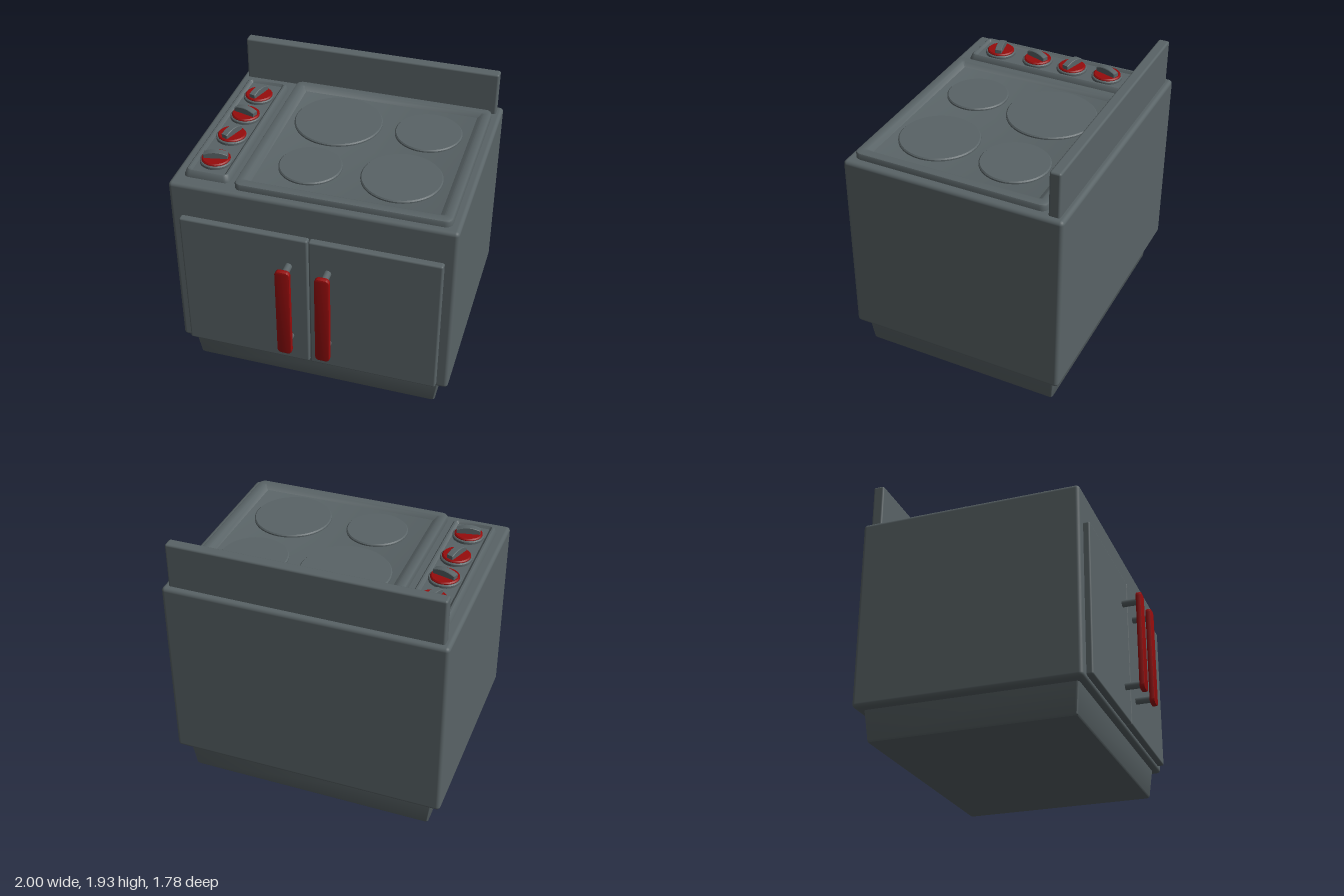
import * as THREE from 'three';
import { toCreasedNormals } from 'three/addons/utils/BufferGeometryUtils.js';
import { RoundedBoxGeometry } from 'three/addons/geometries/RoundedBoxGeometry.js';

const enamel = new THREE.MeshStandardMaterial({ color: 0x596366 });
enamel.name = 'grey enamel';
const red = new THREE.MeshStandardMaterial({ color: 0x960c0c });
red.name = 'dark red';

function add(parent, name, geometry, material, x = 0, y = 0, z = 0) {
  const mesh = new THREE.Mesh(geometry, material);
  mesh.name = name;
  mesh.position.set(x, y, z);
  parent.add(mesh);
  return mesh;
}

// Box given by its minimum and maximum corners, with rounded edges
function roundedBox(parent, name, min, max, radius) {
  const size = max.map((v, i) => v - min[i]);
  const mid = max.map((v, i) => (v + min[i]) / 2);
  return add(parent, name, new RoundedBoxGeometry(...size, 3, radius), enamel, ...mid);
}

// Closed skin through rounded rectangles: [half width, half depth, y, corner radius]
function loftRects(sections) {
  const steps = 5, pos = [], index = [];
  const n = 4 * (steps + 1);
  for (const [w, d, y, r] of sections) {
    for (let c = 0; c < 4; c++) {
      const sx = c === 0 || c === 3 ? 1 : -1, sz = c < 2 ? 1 : -1;
      for (let s = 0; s <= steps; s++) {
        const a = (c + s / steps) * Math.PI / 2;
        pos.push(sx * (w - r) + r * Math.cos(a), y, sz * (d - r) + r * Math.sin(a));
      }
    }
  }
  const last = sections.length - 1;
  for (let k = 0; k < last; k++) {
    for (let i = 0; i < n; i++) {
      const a = k * n + i, b = k * n + (i + 1) % n;
      index.push(a, a + n, b, b, a + n, b + n);
    }
  }
  const bottom = pos.length / 3;
  pos.push(0, sections[0][2], 0, 0, sections[last][2], 0);
  for (let i = 0; i < n; i++) {
    const j = (i + 1) % n;
    index.push(bottom, i, j, bottom + 1, last * n + j, last * n + i);
  }
  const g = new THREE.BufferGeometry();
  g.setAttribute('position', new THREE.Float32BufferAttribute(pos, 3));
  g.setIndex(index);
  return toCreasedNormals(g, 0.6);
}

// Disc with a small chamfer, standing on its origin
function disc(r, h, bevel) {
  const pts = [[0, 0], [r, 0], [r, h - bevel], [r - bevel, h], [0, h]];
  const g = new THREE.LatheGeometry(pts.map(p => new THREE.Vector2(...p)), 48);
  return toCreasedNormals(g, 0.5);
}

// Upright bar with rounded ends
function handleBar(w, h, depth) {
  const b = 0.006, r = 0.025, x = w / 2 - b, y = h / 2 - b;
  const s = new THREE.Shape();
  s.absarc(x - r, y - r, r, 0, Math.PI / 2);
  s.absarc(-x + r, y - r, r, Math.PI / 2, Math.PI);
  s.absarc(-x + r, -y + r, r, Math.PI, Math.PI * 1.5);
  s.absarc(x - r, -y + r, r, Math.PI * 1.5, Math.PI * 2);
  const g = new THREE.ExtrudeGeometry(s, {
    depth: depth - 2 * b, bevelSize: b, bevelThickness: b, bevelSegments: 2, curveSegments: 6,
  });
  return toCreasedNormals(g.translate(0, 0, b), 0.6);
}

// Arched grip across a knob
function gripGeometry() {
  const s = new THREE.Shape();
  s.moveTo(-0.08, 0);
  s.lineTo(0.08, 0);
  s.lineTo(0.08, 0.025);
  s.quadraticCurveTo(0, 0.062, -0.08, 0.025);
  s.closePath();
  const g = new THREE.ExtrudeGeometry(s, {
    depth: 0.042, bevelSize: 0.004, bevelThickness: 0.004, bevelSegments: 1, curveSegments: 10,
  });
  return toCreasedNormals(g.translate(0, 0, -0.021), 0.5);
}

export function createModel() {
  const stove = new THREE.Group();
  stove.name = 'stove';

  // Cabinet, plinth and splash back
  roundedBox(stove, 'cabinet', [-1, 0.215, -0.89], [1, 1.602, 0.7], 0.028);
  add(stove, 'plinth', loftRects([
    [0.895, 0.715, 0, 0.02], [0.902, 0.722, 0.01, 0.02], [0.932, 0.745, 0.235, 0.02],
  ]), enamel, 0, 0, -0.09);
  roundedBox(stove, 'splashBack', [-0.96, 1.56, -0.85], [0.96, 1.927, -0.77], 0.015);

  // Cooktop tray with sunken floor
  add(stove, 'cooktop', loftRects([
    [0.745, 0.7, 1.59, 0.05], [0.745, 0.7, 1.636, 0.05], [0.74, 0.695, 1.645, 0.045],
    [0.73, 0.685, 1.65, 0.04], [0.69, 0.645, 1.65, 0.02], [0.68, 0.635, 1.646, 0.015],
    [0.65, 0.606, 1.622, 0.005],
  ]), enamel, 0.195, 0, -0.05);

  // Hot plates: x, z, radius
  const plates = [[-0.1, -0.315, 0.318], [0.555, -0.35, 0.24], [-0.125, 0.275, 0.22], [0.507, 0.238, 0.28]];
  for (const [x, z, r] of plates) add(stove, 'hotPlate', disc(r, 0.03, 0.008), enamel, x, 1.61, z);

  // Control panel with sunken floor
  add(stove, 'controlPanel', loftRects([
    [0.167, 0.647, 1.59, 0.04], [0.165, 0.645, 1.61, 0.04], [0.152, 0.632, 1.642, 0.035],
    [0.144, 0.624, 1.65, 0.03], [0.132, 0.612, 1.65, 0.02], [0.115, 0.598, 1.632, 0.005],
  ]), enamel, -0.762, 0, -0.045);

  // Knobs: z, turn of the grip
  const grip = gripGeometry();
  const knobs = [[-0.46, 1.27], [-0.18, -0.26], [0.1, 1.23], [0.407, 0.2]];
  for (const [z, turn] of knobs) {
    const knob = new THREE.Group();
    knob.name = 'knob';
    knob.position.set(-0.76, 1.625, z);
    add(knob, 'knobCollar', disc(0.112, 0.03, 0.006), enamel);
    add(knob, 'knobDial', disc(0.1, 0.043, 0.008), red);
    add(knob, 'knobGrip', grip, enamel, 0, 0.043, 0).rotation.y = turn;
    stove.add(knob);
  }

  // Doors, each with a handle on two posts
  const post = new THREE.CylinderGeometry(0.026, 0.026, 0.13, 20).rotateX(Math.PI / 2);
  const bar = handleBar(0.105, 0.738, 0.037);
  for (const side of [-1, 1]) {
    const door = new THREE.Group();
    door.name = side > 0 ? 'leftDoor' : 'rightDoor';
    const inner = side * 0.003 - 0.002, outer = side * 0.922 - 0.002;
    roundedBox(door, 'doorPanel', [Math.min(inner, outer), 0.248, 0.68],
      [Math.max(inner, outer), 1.348, 0.745], 0.014);
    const x = side * 0.139 - 0.002;
    for (const y of [0.475, 1.11]) add(door, 'handlePost', post, enamel, x, y, 0.8);
    add(door, 'handle', bar, red, x, 0.797, 0.853);
    stove.add(door);
  }
  return stove;
}
